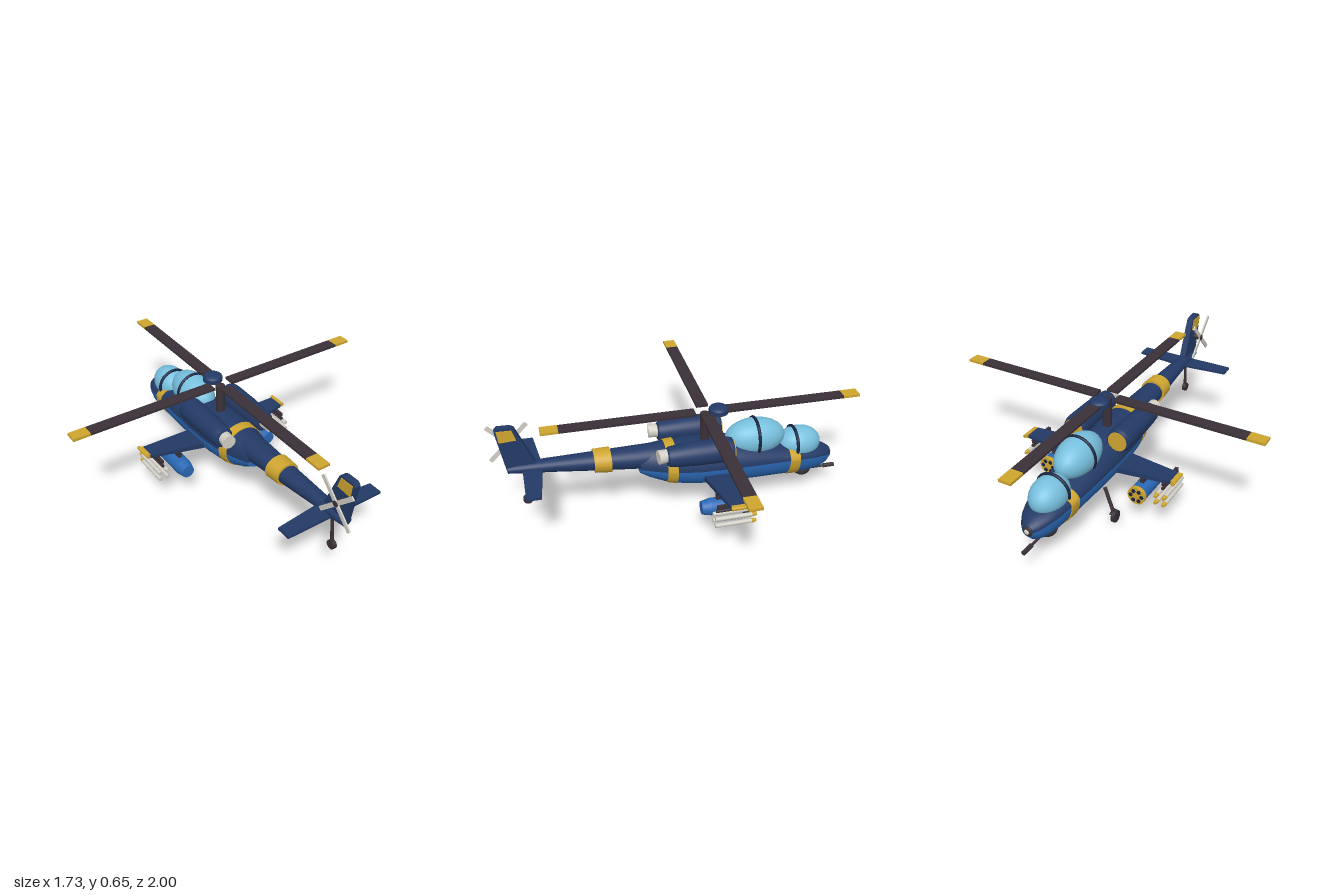
import * as THREE from 'three';

const mat = (name, color) => {
  const m = new THREE.MeshStandardMaterial({ color });
  m.name = name;
  return m;
};

// Body sections: z, half width, waist height, top, bottom
const HULL = [
  [-0.87, 0.032, 0.238, 0.268, 0.205], [-0.845, 0.055, 0.247, 0.285, 0.175], [-0.8, 0.08, 0.262, 0.303, 0.153],
  [-0.74, 0.1, 0.272, 0.318, 0.147], [-0.63, 0.114, 0.283, 0.338, 0.147], [-0.42, 0.13, 0.295, 0.385, 0.153],
  [-0.25, 0.138, 0.302, 0.42, 0.16], [-0.1, 0.138, 0.307, 0.435, 0.17], [0.0, 0.13, 0.312, 0.437, 0.185],
  [0.1, 0.112, 0.318, 0.435, 0.212], [0.18, 0.09, 0.325, 0.43, 0.25], [0.23, 0.074, 0.33, 0.425, 0.283],
];
const BOOM = [
  [0.14, 0.075, 0.37, 0.432, 0.3], [0.25, 0.07, 0.373, 0.431, 0.308], [0.45, 0.057, 0.382, 0.43, 0.327],
  [0.7, 0.042, 0.395, 0.428, 0.355], [0.86, 0.035, 0.4, 0.426, 0.37], [0.915, 0.028, 0.4, 0.42, 0.377],
];

// Section of a table at any z, grown outward by g
function sectionAt(table, z, g) {
  let i = 0;
  while (i < table.length - 2 && table[i + 1][0] < z) i++;
  const [a, b] = [table[i], table[i + 1]];
  const t = (z - a[0]) / (b[0] - a[0]);
  const s = a.map((v, k) => v + (b[k] - v) * t);
  return [z, s[1] + g, s[2], s[3] + g, s[4] - g];
}

// Skin over sections from angle a0 to a1, with flat end caps
function loft(rows, a0 = 0, a1 = Math.PI * 2, n = 32) {
  const flat = (r) => [r[0], 0, r[2], r[2], r[2]];
  const first = rows[0], last = rows[rows.length - 1];
  const rings = [flat(first), first, ...rows, last, flat(last)];
  const pos = [], idx = [];
  rings.forEach(([z, w, mid, top, bottom], i) => {
    for (let j = 0; j <= n; j++) {
      const a = a0 + (a1 - a0) * j / n, s = Math.sin(a);
      pos.push(w * Math.cos(a), mid + s * (s > 0 ? top - mid : mid - bottom), z);
      const skip = i === 1 || i >= rings.length - 1 || i === rings.length - 3;
      if (j < n && !skip) {
        const p = i * (n + 1) + j, q = p + n + 1;
        idx.push(p, p + 1, q, p + 1, q + 1, q);
      }
    }
  });
  const g = new THREE.BufferGeometry();
  g.setAttribute('position', new THREE.Float32BufferAttribute(pos, 3));
  g.setIndex(idx);
  g.computeVertexNormals();
  return g;
}

const band = (table, z0, z1, g) =>
  loft([0, 0.25, 0.5, 0.75, 1].map((t) => sectionAt(table, z0 + (z1 - z0) * t, g)));

export function createModel() {
  const root = new THREE.Group();
  const navy = mat('navy', 0x233a66), blue = mat('blue', 0x2a68b5), gold = mat('gold', 0xcfa530);
  const dark = mat('charcoal', 0x3a3138), glass = mat('glass', 0x78c0de), grey = mat('light grey', 0xd2cfc6);
  const ink = mat('dark navy', 0x18233f);

  const add = (name, geo, m, x = 0, y = 0, z = 0, parent = root) => {
    const mesh = new THREE.Mesh(geo, m);
    mesh.name = name;
    mesh.position.set(x, y, z);
    parent.add(mesh);
    return mesh;
  };
  const box = (name, m, w, h, d, x, y, z, p) => add(name, new THREE.BoxGeometry(w, h, d), m, x, y, z, p);
  // Cylinder along z: rf is the nose-side radius, rb the tail-side one
  const rodZ = (name, m, rf, rb, z0, z1, x, y, p) => add(name,
    new THREE.CylinderGeometry(rf, rb, z1 - z0, 24).rotateX(-Math.PI / 2), m, x, y, (z0 + z1) / 2, p);
  const rodX = (name, m, r, len, x, y, z, p) => add(name,
    new THREE.CylinderGeometry(r, r, len, 24).rotateZ(Math.PI / 2), m, x, y, z, p);
  const strut = (name, m, a, b, r, p) => add(name,
    new THREE.TubeGeometry(new THREE.LineCurve3(new THREE.Vector3(...a), new THREE.Vector3(...b)), 1, r, 12), m, 0, 0, 0, p);
  const ball = (name, m, rx, ry, rz, x, y, z, p) => add(name,
    new THREE.SphereGeometry(1, 32, 20).scale(rx, ry, rz), m, x, y, z, p);

  // Fuselage and tail boom
  add('upperHull', loft(HULL, 0, Math.PI), navy);
  add('lowerHull', loft(HULL, Math.PI, Math.PI * 2), blue);
  add('tailBoom', loft(BOOM), navy);
  add('frontBand', band(HULL, -0.66, -0.6, 0.005), gold);
  add('rearBand', band(HULL, 0.037, 0.09, 0.005), gold);
  add('boomBand', band(BOOM, 0.38, 0.47, 0.012), gold);

  // Nose sensor, chin turret and gun
  ball('noseSensor', dark, 0.034, 0.034, 0.022, 0, 0.235, -0.858);
  ball('sensorLens', grey, 0.014, 0.014, 0.008, 0, 0.237, -0.877);
  ball('gunTurret', dark, 0.052, 0.042, 0.052, 0, 0.15, -0.715);
  rodZ('gunBarrel', dark, 0.007, 0.007, -0.9, -0.72, 0, 0.137);
  rodZ('gunMuzzle', dark, 0.012, 0.012, -0.915, -0.85, 0, 0.137);

  // Two bubble canopies with hoops
  [['rear', -0.42, 0.405, 0.1, 0.105, 0.17], ['front', -0.68, 0.332, 0.092, 0.092, 0.125]].forEach(([n, z, y, rx, ry, rz]) => {
    ball(n + 'Canopy', glass, rx, ry, rz, 0, y, z);
    const hz = n === 'rear' ? z : z + 0.033;
    add(n + 'CanopyHoop', new THREE.TorusGeometry(0.1, 0.009, 10, 40).scale(rx / 0.1, ry / 0.1, 1), ink, 0, y, hz);
  });

  // Main rotor
  const rotorZ = -0.135;
  add('mast', new THREE.CylinderGeometry(0.025, 0.025, 0.2, 20), dark, 0, 0.49, rotorZ);
  add('hubDisc', new THREE.CylinderGeometry(0.053, 0.053, 0.02, 28), navy, 0, 0.595, -0.21);
  add('hubCap', new THREE.SphereGeometry(0.053, 28, 10, 0, Math.PI * 2, 0, Math.PI / 2).scale(1, 0.4, 1), navy, 0, 0.605, -0.21);
  for (let i = 0; i < 4; i++) {
    const blade = new THREE.Group();
    blade.name = 'rotorBlade';
    blade.position.set(0, 0.6, rotorZ);
    blade.rotation.y = i * Math.PI / 2;
    box('bladeSpan', dark, 0.72, 0.013, 0.066, 0.415, 0, 0, blade);
    box('bladeTip', gold, 0.093, 0.014, 0.067, 0.8205, 0, 0, blade);
    root.add(blade);
  }

  // Tail fin, drawn in z and y, then turned upright
  const finPlate = (pts, t) => new THREE.ExtrudeGeometry(
    new THREE.Shape(pts.map(([z, y]) => new THREE.Vector2(-z, y))),
    { depth: t, bevelEnabled: false }).translate(0, 0, -t / 2).rotateY(Math.PI / 2);
  add('tailFin', finPlate([[0.915, 0.38], [0.765, 0.4], [0.77, 0.43], [0.855, 0.64], [0.875, 0.65], [0.94, 0.652], [0.955, 0.635]], 0.036), navy);
  add('finPatch', finPlate([[0.938, 0.572], [0.85, 0.577], [0.868, 0.638], [0.945, 0.64]], 0.042), gold);
  // Tailplane
  const plane = new THREE.Shape([[-0.28, -0.84], [0.28, -0.84], [0.28, -0.765], [0, -0.735], [-0.28, -0.765]]
    .map((p) => new THREE.Vector2(...p)));
  add('tailplane', new THREE.ExtrudeGeometry(plane, { depth: 0.014, bevelEnabled: false }).rotateX(-Math.PI / 2), navy, 0, 0.382, 0);
  // Tail rotor
  rodX('tailRotorShaft', dark, 0.016, 0.055, -0.038, 0.523, 0.893);
  for (const s of [-1, 1]) {
    box('tailRotorBlade', grey, 0.008, 0.285, 0.023, -0.058, 0.523, 0.893).rotation.x = s * Math.PI / 4;
  }
  // Tail wheel
  strut('tailStrut', dark, [0, 0.39, 0.815], [0, 0.2, 0.832], 0.009);
  rodX('tailWheel', dark, 0.025, 0.022, 0, 0.193, 0.832);

  // Everything paired left and right
  for (const s of [-1, 1]) {
    const side = new THREE.Group();
    side.name = s > 0 ? 'leftSide' : 'rightSide';
    root.add(side);

    // Engine
    const profile = [[0, -0.1], [0.046, -0.1], [0.054, -0.09], [0.059, -0.05], [0.065, 0.06], [0.067, 0.2], [0.066, 0.235],
      [0.061, 0.252], [0.054, 0.255], [0, 0.255]].map((p) => new THREE.Vector2(...p));
    add('engine', new THREE.LatheGeometry(profile, 32).rotateX(-Math.PI / 2), navy, s * 0.13, 0.43, 0, side);
    rodZ('engineIntake', gold, 0.053, 0.053, -0.26, -0.25, s * 0.13, 0.43, side);
    const pipe = rodZ('exhaust', grey, 0.034, 0.038, 0.07, 0.148, s * 0.13, 0.438, side);
    pipe.rotation.y = s * 0.12;

    // Stub wing, thinner and higher toward the tip
    const wing = new THREE.BoxGeometry(0.33, 1, 1);
    const p = wing.attributes.position;
    for (let i = 0; i < p.count; i++) {
      const t = p.getX(i) * s / 0.33 + 0.5;
      p.setXYZ(i, s * (0.1 + 0.335 * t), 0.258 + 0.022 * t + p.getY(i) * (0.032 - 0.014 * t),
        p.getZ(i) > 0 ? -0.1 - 0.065 * t * 0.9 : -0.265 + 0.015 * t);
    }
    wing.computeVertexNormals();
    add('stubWing', wing, navy, 0, 0, 0, side);
    box('wingTip', gold, 0.02, 0.022, 0.09, s * 0.443, 0.281, -0.208, side);
    rodZ('wingTipLight', gold, 0.009, 0.009, -0.265, -0.16, s * 0.45, 0.283, side);

    // Rocket pod with six tubes
    box('podPylon', dark, 0.02, 0.06, 0.12, s * 0.27, 0.24, -0.19, side);
    rodZ('podBody', blue, 0.047, 0.047, -0.292, -0.1, s * 0.27, 0.175, side);
    rodZ('podTail', blue, 0.047, 0.036, -0.1, -0.05, s * 0.27, 0.175, side);
    rodZ('podFace', gold, 0.05, 0.05, -0.308, -0.288, s * 0.27, 0.175, side);
    for (let i = 0; i < 6; i++) {
      const a = i * Math.PI / 3;
      rodZ('rocketTube', ink, 0.011, 0.011, -0.311, -0.305, s * 0.27 + 0.031 * Math.cos(a), 0.175 + 0.031 * Math.sin(a), side);
    }

    // Missile rack with four missiles
    box('missileRack', dark, 0.018, 0.02, 0.16, s * 0.397, 0.262, -0.18, side);
    rodZ('missileRail', dark, 0.009, 0.009, -0.265, -0.095, s * 0.397, 0.24, side);
    for (const x of [0.375, 0.42]) for (const y of [0.166, 0.207]) {
      rodZ('missile', grey, 0.0115, 0.0115, -0.285, -0.085, s * x, y, side);
      rodZ('missileTip', gold, 0.008, 0.0125, -0.305, -0.28, s * x, y, side);
    }

    // Main landing gear
    strut('gearStrut', dark, [s * 0.1, 0.19, -0.335], [s * 0.157, 0.06, -0.347], 0.01, side);
    rodX('gearAxle', dark, 0.009, 0.04, s * 0.16, 0.04, -0.347, side);
    box('gearFork', dark, 0.012, 0.04, 0.02, s * 0.158, 0.053, -0.347, side);
    rodX('gearWheel', dark, 0.034, 0.02, s * 0.17, 0.034, -0.347, side);
  }
  return root;
}
